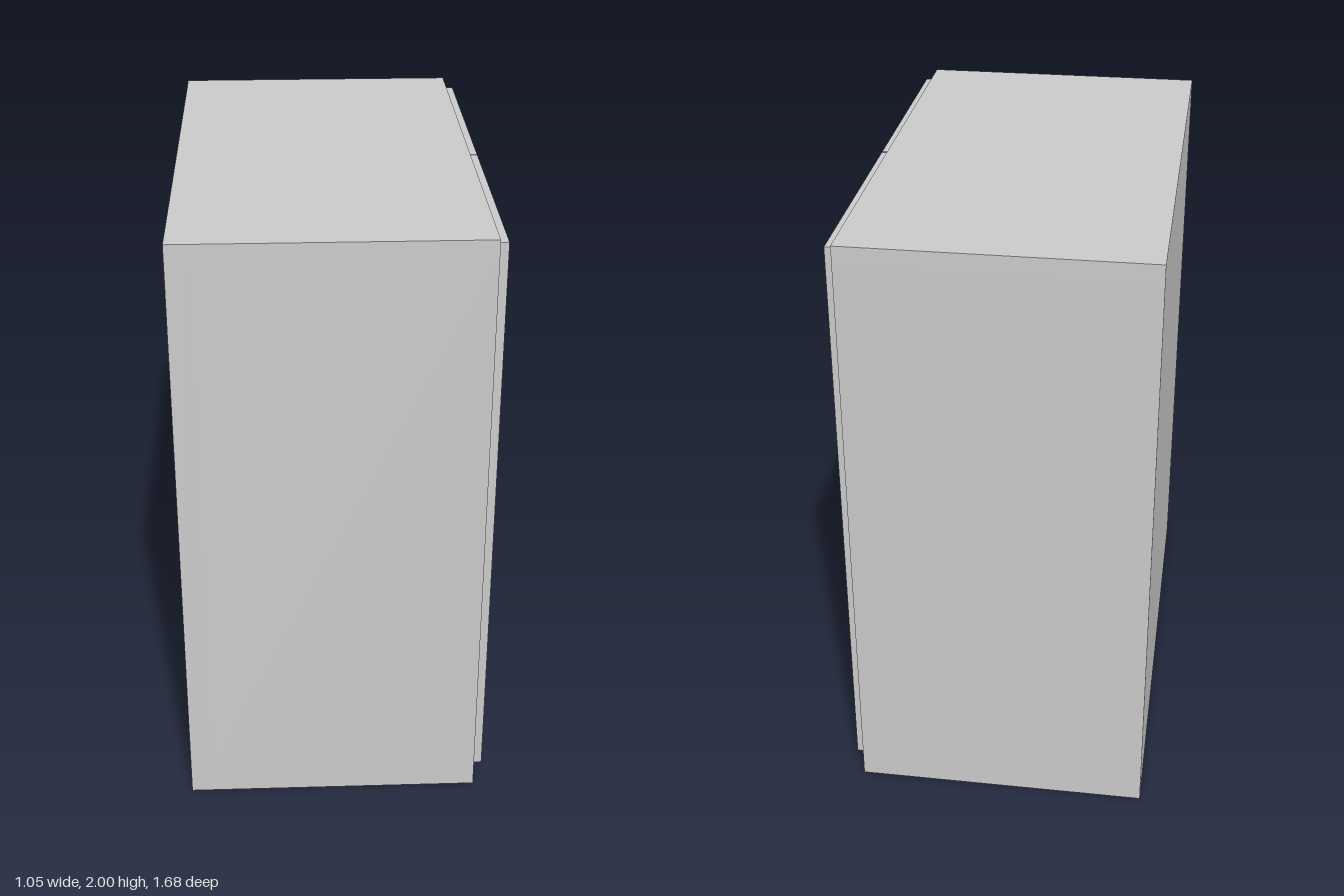
import * as THREE from 'three';

const material = new THREE.MeshStandardMaterial({ color: 0xcccccc });

// Box given by its minimum and maximum corners
function block(name, [x0, y0, z0], [x1, y1, z1]) {
  const mesh = new THREE.Mesh(new THREE.BoxGeometry(x1 - x0, y1 - y0, z1 - z0), material);
  mesh.name = name;
  mesh.position.set((x0 + x1) / 2, (y0 + y1) / 2, (z0 + z1) / 2);
  return mesh;
}

// Vertical bar held off the door by two round posts
function createHandle(z) {
  const handle = new THREE.Group();
  handle.name = 'handle';
  const bar = new THREE.Mesh(new THREE.CylinderGeometry(0.014, 0.014, 0.31, 24), material);
  bar.name = 'handleBar';
  bar.position.set(0.511, 1.015, z);
  handle.add(bar);
  for (const y of [0.91, 1.125]) {
    const post = new THREE.Mesh(new THREE.CylinderGeometry(0.008, 0.008, 0.045, 16), material);
    post.name = 'handlePost';
    post.rotation.z = Math.PI / 2;
    post.position.set(0.4875, y, z);
    handle.add(post);
  }
  return handle;
}

export function createModel() {
  const cabinet = new THREE.Group();
  cabinet.name = 'cabinet';
  const back = -0.53, front = 0.435, half = 0.84, t = 0.065;

  // Carcass panels
  cabinet.add(
    block('bottomPanel', [back, 0, -half], [front, t, half]),
    block('topPanel', [back, 2 - t, -half], [front, 2, half]),
    block('backPanel', [back, t, -half], [back + t, 2 - t, half]),
    block('leftSidePanel', [back + t, t, -half], [front, 2 - t, -half + t]),
    block('rightSidePanel', [back + t, t, half - t], [front, 2 - t, half])
  );

  // Inner shelves
  for (const y of [0.56, 1.77]) {
    cabinet.add(block('shelf', [back + t, y, -half + t], [front - 0.03, y + 0.055, half - t]));
  }

  // Double doors with a narrow gap between them
  for (const [z0, z1, handleZ] of [[-0.793, 0, -0.115], [0.008, 0.796, 0.124]]) {
    cabinet.add(block('door', [front, 0.055, z0], [0.467, 1.975, z1]), createHandle(handleZ));
  }
  return cabinet;
}
